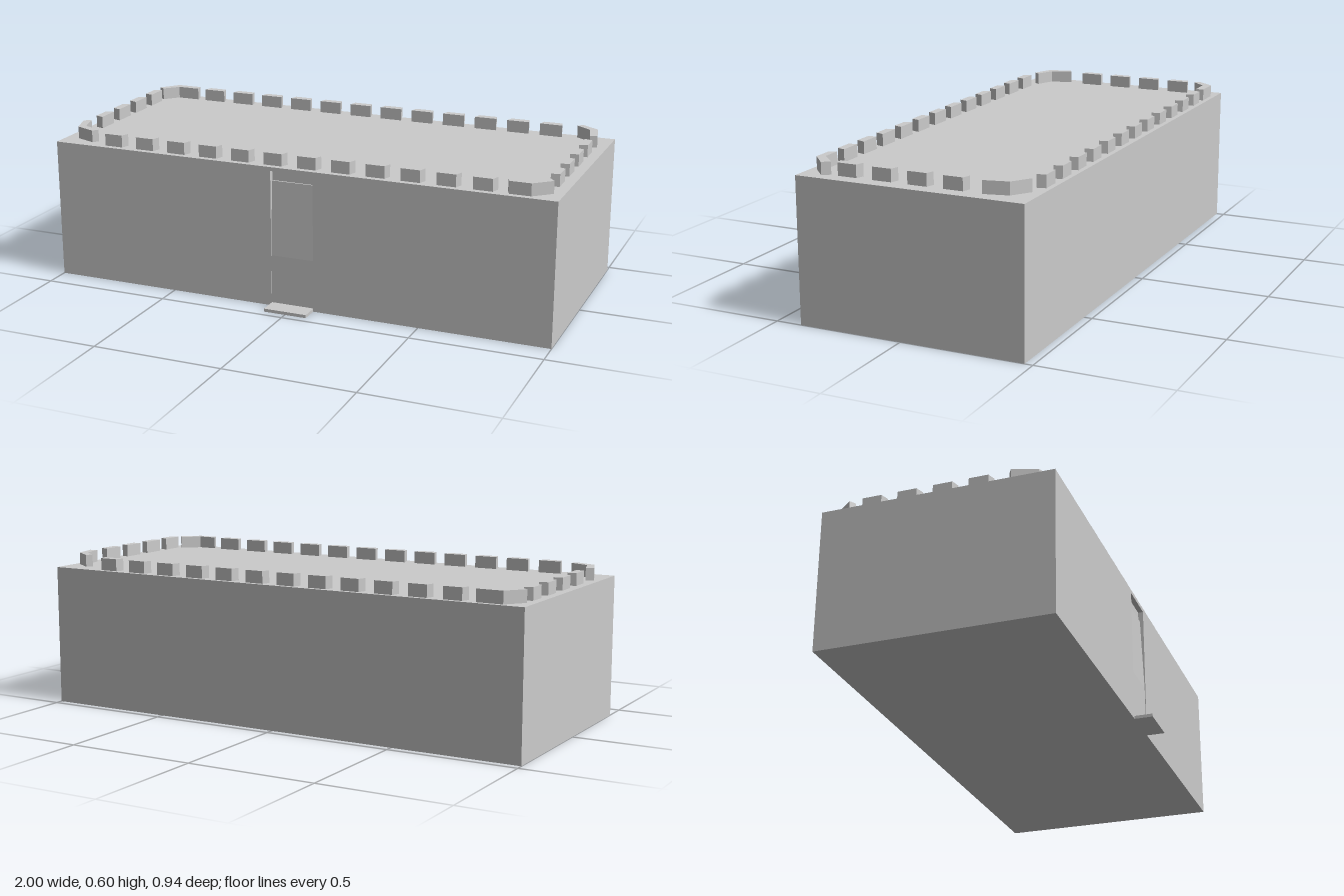
import * as THREE from 'three';

const material = new THREE.MeshStandardMaterial({ color: 0xcccccc, flatShading: true });

function outline(points) {
  return new THREE.Shape(points.map(([a, b]) => new THREE.Vector2(a, b)));
}

// Upright prism from a plan outline of [x, z] points
function prism(points, y, height) {
  const shape = outline(points.map(([x, z]) => [x, -z]));
  return new THREE.ExtrudeGeometry(shape, { depth: height, bevelEnabled: false })
    .rotateX(-Math.PI / 2).translate(0, y, 0);
}

export function createModel() {
  const model = new THREE.Group();
  const add = (parent, name, geometry) => {
    const mesh = new THREE.Mesh(geometry, material);
    mesh.name = name;
    parent.add(mesh);
    return mesh;
  };

  const top = 0.545, front = 0.40, back = -0.47, recess = 0.02;
  const slot = 0.085, slotTop = 0.53;

  // Main block, with a front wall notched for the doorway
  const bodyDepth = front - recess - back;
  add(model, 'body', new THREE.BoxGeometry(2, top, bodyDepth)
    .translate(0, top / 2, back + bodyDepth / 2));
  const wall = outline([[-1, 0], [-slot, 0], [-slot, slotTop], [slot, slotTop],
    [slot, 0], [1, 0], [1, top], [-1, top]]);
  add(model, 'frontWall', new THREE.ExtrudeGeometry(wall, { depth: recess, bevelEnabled: false })
    .translate(0, 0, front - recess));

  // Sloping door panel with a thin doorstep, drawn as a [z, y] profile
  const panel = outline([[0.379, 0], [0.47, 0], [0.47, 0.012], [0.398, 0.012],
    [0.397, 0.2], [0.386, 0.49], [0.379, 0.49]]);
  add(model, 'doorAndStep', new THREE.ExtrudeGeometry(panel, { depth: 2 * slot, bevelEnabled: false })
    .rotateY(-Math.PI / 2).translate(slot, 0, 0));

  // Battlements: rows of small tapered blocks
  const battlements = new THREE.Group();
  battlements.name = 'battlements';
  model.add(battlements);
  const height = 0.047, low = top, high = 0.551;
  const block = [[-0.045, -0.016], [0.045, -0.016], [0.035, 0.016], [-0.038, 0.016]];

  function row(name, count, x, z, stepX, stepZ, turn, y) {
    const group = new THREE.Group();
    group.name = name;
    battlements.add(group);
    for (let i = 0; i < count; i++) {
      const merlon = add(group, 'merlon', prism(block, 0, height));
      merlon.position.set(x + i * stepX, y, z + i * stepZ);
      merlon.rotation.y = turn;
    }
  }
  row('frontMerlons', 12, -0.757, 0.361, 0.1347, 0, 0, low);
  row('backMerlons', 12, -0.727, -0.436, 0.1347, 0, Math.PI, low);
  row('leftMerlons', 4, 0.949, -0.195, 0, 0.1355, Math.PI / 2, high);
  row('rightMerlons', 4, -0.955, -0.291, 0, 0.1345, -Math.PI / 2, low);

  // Bent corner pieces
  add(battlements, 'backRightCorner', prism([[-0.97, -0.38], [-0.914, -0.452], [-0.813, -0.452],
    [-0.807, -0.42], [-0.898, -0.42], [-0.947, -0.366]], low, height));
  add(battlements, 'backLeftCorner', prism([[0.861, -0.42], [0.877, -0.441], [0.947, -0.393],
    [0.968, -0.302], [0.941, -0.291], [0.92, -0.377]], high, height));
  add(battlements, 'frontRightCorner', prism([[-0.979, 0.233], [-0.952, 0.217], [-0.925, 0.302],
    [-0.85, 0.334], [-0.866, 0.356], [-0.947, 0.324]], low, height));
  add(battlements, 'frontLeftCorner', prism([[0.807, 0.35], [0.882, 0.35], [0.941, 0.291],
    [0.963, 0.318], [0.898, 0.377], [0.818, 0.377]], low, height));

  return model;
}
